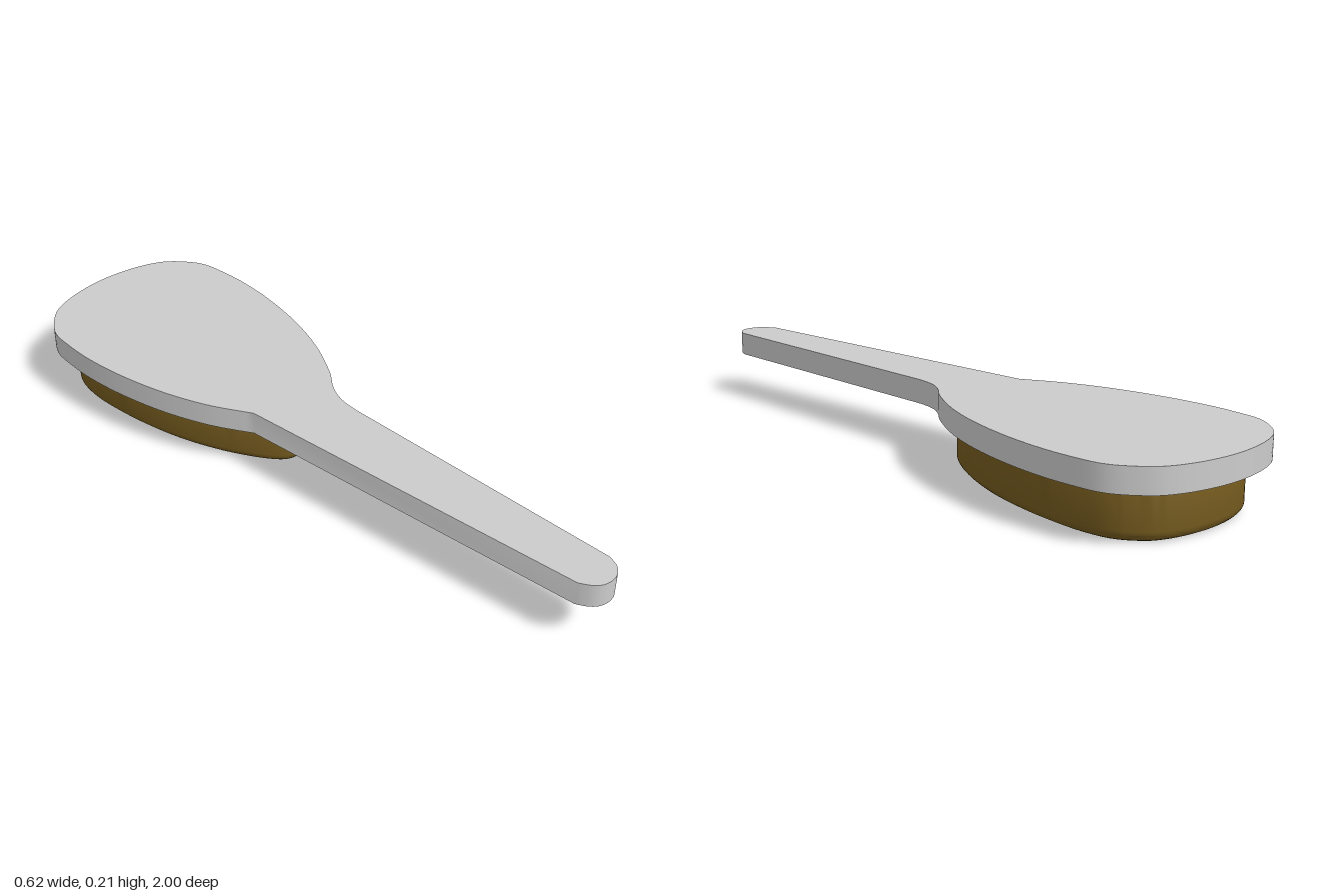
import * as THREE from 'three';
import { toCreasedNormals } from 'three/addons/utils/BufferGeometryUtils.js';

const vectors = (points) => points.map(([x, z]) => new THREE.Vector2(x, z));
const mirrored = (points) => points.map(([x, z]) => [-x, z]).reverse();

// Extrudes a plan outline (x, z) downwards from the given top height
function slab(name, shape, top, options, color) {
  const geometry = new THREE.ExtrudeGeometry(shape, { curveSegments: 4, bevelEnabled: false, ...options });
  geometry.rotateX(Math.PI / 2).translate(0, top, 0);
  const material = new THREE.MeshStandardMaterial({ color });
  const mesh = new THREE.Mesh(toCreasedNormals(geometry, 0.6), material);
  mesh.name = name;
  return mesh;
}

// Flat board: rounded head, one curved and one sharp shoulder, slim handle
function boardShape() {
  const side = [[0.15, -0.12], [0.215, -0.24], [0.265, -0.38], [0.297, -0.53], [0.31, -0.66],
    [0.308, -0.76], [0.296, -0.845], [0.255, -0.91], [0.2, -0.957], [0.11, -0.988]];
  const head = [...side, [0, -1], ...mirrored(side)];
  const shape = new THREE.Shape();
  shape.moveTo(-0.068, 0.945);
  shape.splineThru(vectors([[-0.05, 0.976], [-0.028, 0.994], [0, 1], [0.028, 0.994], [0.05, 0.976], [0.065, 0.945]]));
  shape.lineTo(0.065, 0.07);
  shape.splineThru(vectors([[0.07, 0.02], [0.084, -0.025], [0.108, -0.065], ...head]));
  shape.closePath();
  return shape;
}

// Pad: inset teardrop with a blunt tip towards the handle
function padShape() {
  const side = [[0.04, -0.08], [0.075, -0.105], [0.12, -0.17], [0.17, -0.27], [0.215, -0.4], [0.243, -0.54],
    [0.255, -0.67], [0.253, -0.75], [0.24, -0.815], [0.21, -0.865], [0.165, -0.905], [0.09, -0.931]];
  const shape = new THREE.Shape();
  shape.moveTo(0, -0.075);
  shape.splineThru(vectors([...side, [0, -0.94], ...mirrored(side), [0, -0.075]]));
  return shape;
}

export function createModel() {
  const group = new THREE.Group();
  group.name = 'paddleBrush';
  group.add(slab('board', boardShape(), 0.21, { depth: 0.07 }, 0xcccccc));

  // The pad's upper bevel is sunk into the board, its lower one rounds the underside
  const bevel = 0.028;
  group.add(slab('pad', padShape(), 0.14, {
    depth: 0.14 - bevel, bevelEnabled: true, bevelThickness: bevel,
    bevelSize: bevel, bevelOffset: -bevel, bevelSegments: 5,
  }, 0x745a1e));
  return group;
}
